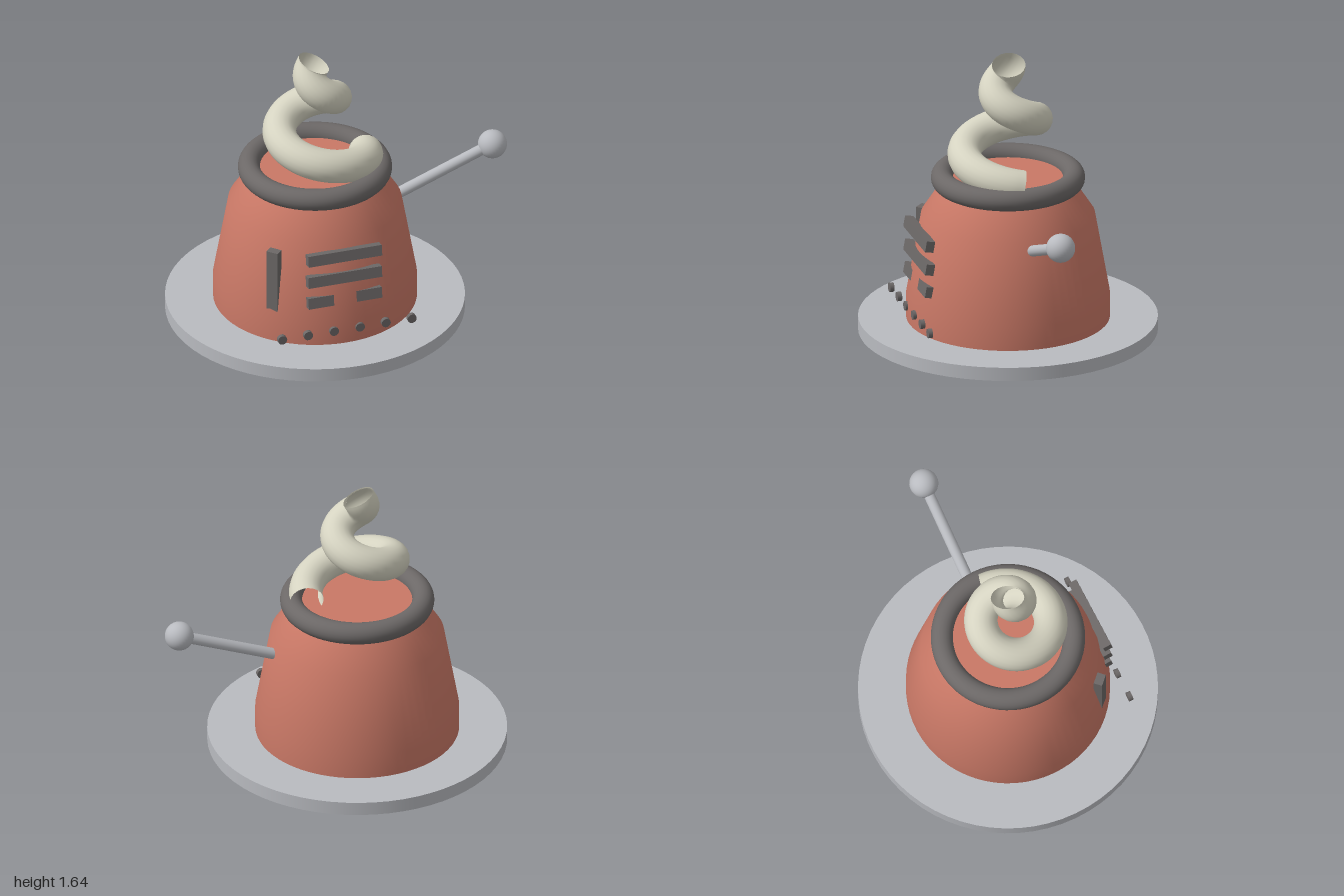
import * as THREE from 'three';
import { toCreasedNormals } from 'three/addons/utils/BufferGeometryUtils.js';

export function createModel() {
  const model = new THREE.Group();
  model.name = 'steamingPot';
  const material = (name, color, side = THREE.FrontSide) => {
    const m = new THREE.MeshStandardMaterial({ color, side });
    m.name = name;
    return m;
  };
  const clay = material('clay red', 0xc97866);
  const dark = material('dark grey', 0x6c6867);
  const metal = material('light metal', 0xb9bbc0);
  const cream = material('cream', 0xd5d3c1, THREE.DoubleSide);

  const add = (parent, name, geometry, mat, x = 0, y = 0, z = 0) => {
    const mesh = new THREE.Mesh(geometry, mat);
    mesh.name = name;
    mesh.position.set(x, y, z);
    parent.add(mesh);
    return mesh;
  };

  // Everything sits around the pot's own axis
  const pot = new THREE.Group();
  pot.name = 'pot';
  pot.position.x = -0.147;
  model.add(pot);

  // Base plate
  add(pot, 'basePlate', new THREE.CylinderGeometry(0.853, 0.853, 0.08, 64), metal, 0, 0.04, 0);

  // Body with closed top
  const profile = [[0, 0.08], [0.58, 0.08], [0.58, 0.22], [0.495, 0.7], [0.39, 0.86], [0.35, 0.92], [0, 0.92]]
    .map(([r, y]) => new THREE.Vector2(r, y));
  add(pot, 'body', toCreasedNormals(new THREE.LatheGeometry(profile, 64), 0.7), clay);

  // Rim ring
  const ring = new THREE.TorusGeometry(0.376, 0.063, 20, 64);
  ring.rotateX(Math.PI / 2);
  add(pot, 'rim', ring, dark, 0, 0.918, 0);

  // Spiral of steam, narrowing as it rises
  const points = [];
  for (let i = 0; i <= 52; i++) {
    const q = i / 8; // quarter turns
    const a = q * Math.PI / 2;
    const r = 0.3 - 0.045 * q;
    points.push(new THREE.Vector3(r * Math.cos(a), 0.965 + 0.097 * q, r * Math.sin(a)));
  }
  add(pot, 'steamCoil', new THREE.TubeGeometry(new THREE.CatmullRomCurve3(points), 160, 0.096, 20), cream);

  // Lever and knob
  const from = new THREE.Vector3(0.5, 0.65, 0);
  const to = new THREE.Vector3(1.062, 0.87, 0);
  const dir = to.clone().sub(from);
  const rod = add(pot, 'leverRod', new THREE.CylinderGeometry(0.032, 0.032, dir.length(), 20), metal);
  rod.position.copy(from).add(to).multiplyScalar(0.5);
  rod.quaternion.setFromUnitVectors(new THREE.Vector3(0, 1, 0), dir.normalize());
  add(pot, 'leverKnob', new THREE.SphereGeometry(0.083, 32, 20), metal, to.x, to.y, to.z);

  // Front vent bars, leaning with the wall
  [[0.627, 0.526], [0.487, 0.526], [0.35, 0.527]].forEach(([y, z], i) => {
    const bar = add(pot, `ventBar${i + 1}`, new THREE.BoxGeometry(0.44, 0.065, 0.05), dark, 0, y, z);
    bar.rotation.x = -0.175;
  });

  // Upright strip on the right of the front
  const strip = add(pot, 'sideStrip', new THREE.BoxGeometry(0.07, 0.41, 0.05), dark, -0.375, 0.445, 0.395);
  strip.rotation.y = -Math.PI / 4;

  // Row of rivets
  const rivet = new THREE.CylinderGeometry(0.027, 0.027, 0.025, 20);
  rivet.rotateX(Math.PI / 2);
  for (let i = 0; i < 6; i++) add(pot, `rivet${i + 1}`, rivet, dark, (i - 2.5) * 0.155, 0.17, 0.578);

  return model;
}
